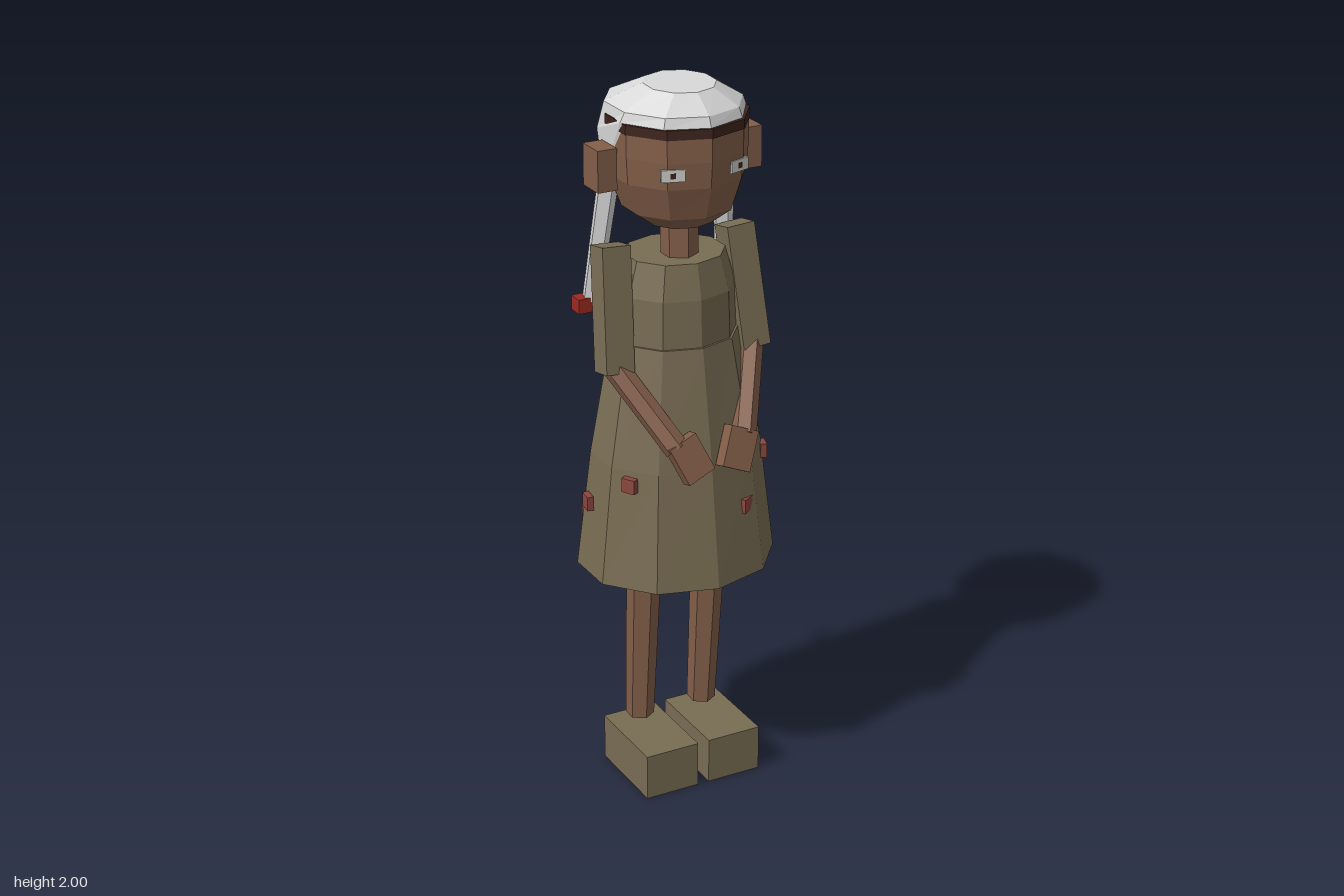
import * as THREE from 'three';

const mat = (name, color, extra = {}) => {
  const m = new THREE.MeshStandardMaterial({ color, flatShading: true, ...extra });
  m.name = name;
  return m;
};

// Ten-sided loft through rings [y, rx, rz, centreZ], bottom to top; y may be a function of the corner index
const SIDES = 10;
function loft(rings, capBottom = true, capTop = true) {
  const corner = (r, i) => {
    const [y, rx, rz, cz = 0] = r;
    const k = i % SIDES, a = (k / SIDES) * Math.PI * 2;
    return [Math.sin(a) * rx, typeof y === 'function' ? y(k, Math.cos(a)) : y, cz + Math.cos(a) * rz];
  };
  const pos = [];
  const tri = (...pts) => pts.forEach((p) => pos.push(...p));
  const centre = (r) => {
    let s = [0, 0, 0];
    for (let i = 0; i < SIDES; i++) s = s.map((v, k) => v + corner(r, i)[k] / SIDES);
    return s;
  };
  const first = rings[0], last = rings[rings.length - 1];
  for (let i = 0; i < SIDES; i++) {
    for (let j = 0; j < rings.length - 1; j++) {
      const a = corner(rings[j], i), b = corner(rings[j], i + 1);
      const c = corner(rings[j + 1], i + 1), d = corner(rings[j + 1], i);
      tri(a, b, c);
      tri(a, c, d);
    }
    if (capTop) tri(centre(last), corner(last, i), corner(last, i + 1));
    if (capBottom) tri(centre(first), corner(first, i + 1), corner(first, i));
  }
  const g = new THREE.BufferGeometry();
  g.setAttribute('position', new THREE.Float32BufferAttribute(pos, 3));
  g.computeVertexNormals();
  return g;
}

export function createModel() {
  const model = new THREE.Group();
  model.name = 'figure';
  const skin = mat('brown skin', 0x835e49);
  const cloth = mat('olive cloth', 0x786c53);
  const hair = mat('white hair', 0xd8d8d8, { side: THREE.DoubleSide });
  const dark = mat('dark brown', 0x3c231b);
  const red = mat('red tie', 0x9c2a20);
  const patchRed = mat('faded red', 0x8a473f);
  const eyeWhite = mat('eye grey', 0xcfcfca);

  const add = (name, geo, material, x = 0, y = 0, z = 0) => {
    const m = new THREE.Mesh(geo, material);
    m.name = name;
    m.position.set(x, y, z);
    model.add(m);
    return m;
  };
  const box = (name, material, [w, h, d], [x, y, z]) =>
    add(name, new THREE.BoxGeometry(w, h, d), material, x, y, z);
  // Limb running from point a (top) to point b (bottom)
  const limb = (name, geoFor, material, a, b) => {
    const A = new THREE.Vector3(...a), B = new THREE.Vector3(...b);
    const dir = A.clone().sub(B);
    const m = add(name, geoFor(dir.length()), material);
    m.position.copy(A).add(B).multiplyScalar(0.5);
    m.quaternion.setFromUnitVectors(new THREE.Vector3(0, 1, 0), dir.normalize());
    return m;
  };

  // Dress
  add('skirt', loft([[0.65, 0.278, 0.247], [0.98, 0.238, 0.205], [1.31, 0.175, 0.157, -0.006]]), cloth);
  add('bodice', loft([
    [1.31, 0.17, 0.153, -0.008], [1.44, 0.165, 0.151, -0.01], [1.535, 0.138, 0.127, -0.008],
  ]), cloth);

  // Small patches standing proud of the skirt: [x, y, z]
  const patches = [
    [-0.2, 0.945, 0.115], [0.115, 0.85, 0.185], [0.23, 0.945, 0.07], [0.25, 0.75, -0.08],
    [0.137, 0.85, -0.205], [-0.03, 0.945, -0.23], [-0.185, 0.75, -0.172], [-0.252, 0.85, -0.03],
  ];
  for (const p of patches) {
    const m = box('skirtPatch', patchRed, [0.04, 0.04, 0.018], p);
    m.rotation.y = Math.atan2(p[0], p[2]);
  }

  // Neck and head
  add('neck', new THREE.CylinderGeometry(0.05, 0.05, 0.14, 6), skin, 0, 1.59, 0.02);
  add('head', loft([
    [1.63, 0.09, 0.09, 0.02], [1.672, 0.15, 0.15, 0.014], [1.76, 0.182, 0.18, 0.01],
    [1.83, 0.187, 0.186, 0.01], [1.9, 0.187, 0.185, 0.01], [1.93, 0.165, 0.165, 0.005],
  ]), skin);
  add('hairline', loft([[1.893, 0.19, 0.188, 0.01], [1.918, 0.189, 0.186, 0.01]]), dark);

  // Hair cap: short over the brow, long at the back
  const isFront = (k) => k <= 2 || k >= 8;
  add('hairCap', loft([
    [(k) => (isFront(k) ? 1.908 : 1.75), 0.186, 0.198, -0.006],
    [(k, c) => (isFront(k) ? 1.918 : 1.875 + 0.015 * c), 0.192, 0.212, -0.023],
    [1.945, 0.18, 0.19, -0.012],
    [(k, c) => 1.996 - 0.004 * c, 0.096, 0.097, 0.02],
  ], false, true), hair);

  for (const s of [1, -1]) {
    // Face
    const eye = box('eye', eyeWhite, [0.062, 0.032, 0.008], [0.095 * s, 1.8, 0.163]);
    eye.rotation.y = s * Math.PI / 10;
    const pupil = box('pupil', dark, [0.014, 0.014, 0.009], [0.0953 * s, 1.8, 0.1635]);
    pupil.rotation.y = s * Math.PI / 10;
    box('ear', skin, [0.055, 0.112, 0.084], [0.212 * s, 1.792, -0.013]);

    // Pigtail with its tie
    limb('pigtail', (l) => new THREE.CylinderGeometry(0.03, 0.026, l, 5), hair,
      [0.165 * s, 1.78, -0.05], [0.2 * s, 1.4, -0.1]);
    box('hairTie', red, [0.09, 0.04, 0.045], [0.2 * s, 1.39, -0.104]);

    // Arms folded in front
    limb('sleeve', (l) => new THREE.BoxGeometry(0.082, l, 0.072), cloth,
      [0.184 * s, 1.575, -0.015], [0.205 * s, 1.245, 0.045]);
    limb('forearm', (l) => new THREE.CylinderGeometry(0.034, 0.034, l, 6), skin,
      [0.208 * s, 1.265, 0.04], [0.1 * s, 1.06, 0.195]);
    limb('hand', (l) => new THREE.BoxGeometry(0.085, l, 0.04), skin,
      [0.093 * s, 1.083, 0.196], [0.05 * s, 0.985, 0.226]);

    // Legs and shoes
    limb('leg', (l) => new THREE.CylinderGeometry(0.048, 0.04, l, 6), skin,
      [0.1 * s, 0.645, 0.002], [0.098 * s, 0.158, -0.032]);
    box('shoe', cloth, [0.16, 0.132, 0.262], [0.097 * s, 0.066, 0.033]);
  }
  return model;
}
